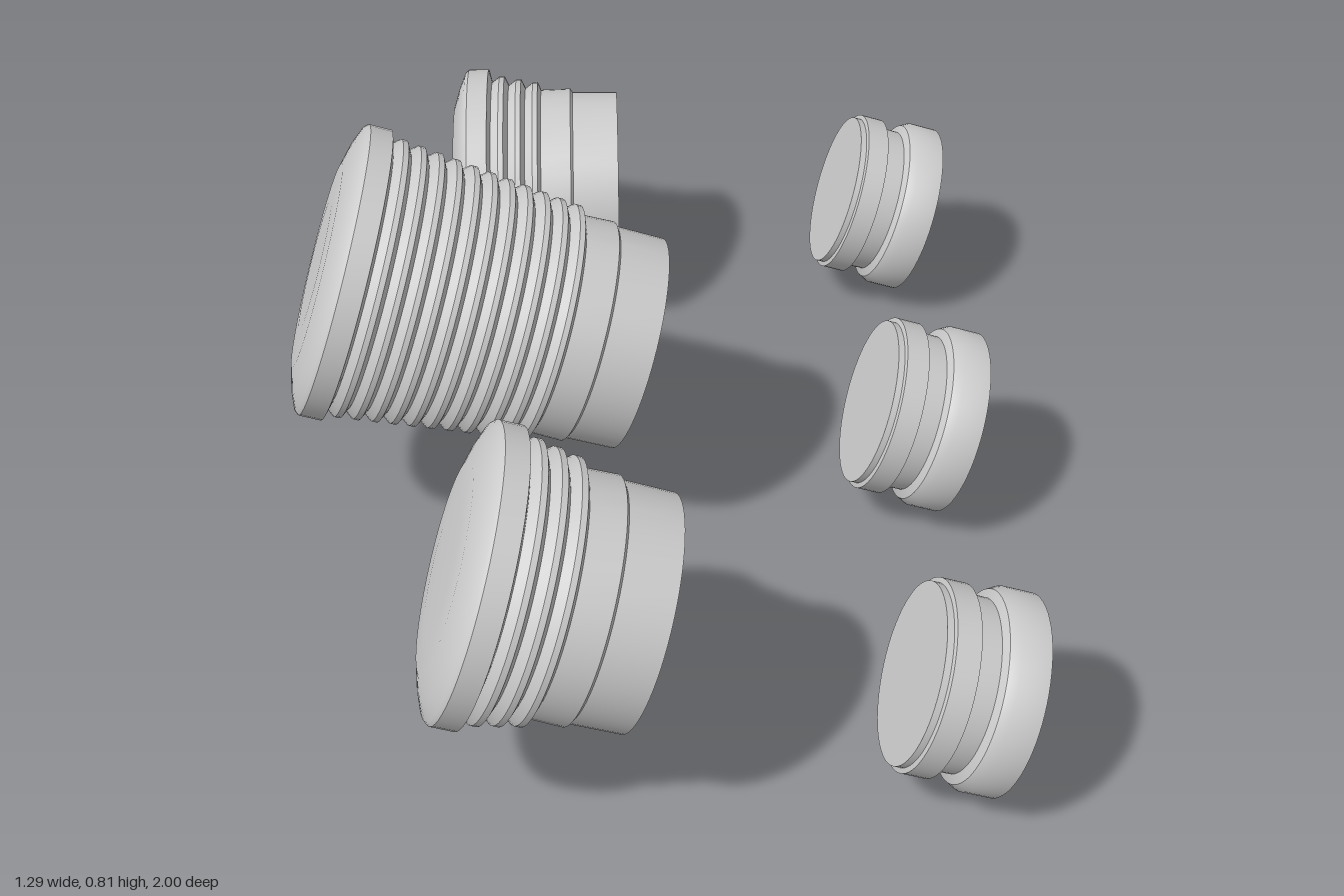
import * as THREE from 'three';
import { toCreasedNormals } from 'three/addons/utils/BufferGeometryUtils.js';

const TILT = THREE.MathUtils.degToRad(107.5);
const WALL = 0.012;

// Profiles are [radius, height]; the mouth or outer face lies at height 0.
function turned(profile) {
  const pts = profile.map(([r, y]) => new THREE.Vector2(r, y));
  return toCreasedNormals(new THREE.LatheGeometry(pts, 64), 0.6);
}

// Hollow bellows cup: domed closed end, thick rim, ribbed taper, plain collar
function cupGeometry(rimR, rimY, ribs) {
  const capY = rimY - 0.075;
  const cap = [
    [0, capY], [rimR * 0.45, capY], [rimR * 0.7, capY + 0.003],
    [rimR - 0.035, capY + 0.015], [rimR - 0.006, capY + 0.027],
    [rimR, capY + 0.034], [rimR, rimY],
  ];
  const bellows = [];
  const startR = rimR - 0.008, endR = 0.222, endY = -0.163;
  const step = (endY - rimY) / ribs;
  for (let i = 0; i < ribs; i++) {
    const y = rimY + i * step;
    const r = startR + (endR - startR) * (i + 1) / ribs;
    bellows.push([r - 0.012, y + step * 0.2], [r, y + step * 0.65], [r, y + step * 0.95]);
  }
  const outside = [...cap, ...bellows, [0.206, -0.158], [0.208, -0.097], [0.201, -0.092], [0.2, 0]];
  // Mouth with a small inner catch ring, then the inside of the ribs and cap
  const mouth = [[0.188, 0], [0.188, -0.085], [0.172, -0.092], [0.172, -0.115], [0.192, -0.155]];
  const ribInside = bellows.slice().reverse().map(([r, y]) => [r - WALL, y]);
  const capInside = [
    [rimR - WALL, rimY - 0.005], [rimR - 0.016, capY + 0.04],
    [rimR * 0.7, capY + 0.016], [0, capY + WALL],
  ];
  return turned([...outside, ...mouth, ...ribInside, ...capInside]);
}

// Solid grooved plug
function plugGeometry() {
  return turned([
    [0, -0.175], [0.156, -0.175], [0.156, -0.163], [0.165, -0.161], [0.165, -0.118],
    [0.15, -0.115], [0.149, -0.077], [0.165, -0.07], [0.174, -0.053], [0.174, 0], [0, 0],
  ]);
}

export function createModel() {
  const model = new THREE.Group();
  model.name = 'bellowsCupsAndPlugs';
  const grey = new THREE.MeshStandardMaterial({ color: 0xcccccc });
  grey.name = 'lightGrey';

  const add = (name, geometry, x, y, z, angle) => {
    const mesh = new THREE.Mesh(geometry, grey);
    mesh.name = name;
    mesh.position.set(x, y, z);
    mesh.rotation.z = -angle;
    model.add(mesh);
  };

  // Cups: one long, two short; the rear one lies level
  const shortCup = cupGeometry(0.25, -0.267, 3);
  add('longCup', cupGeometry(0.271, -0.534, 11), -0.01, 0.385, 0, TILT);
  add('frontShortCup', shortCup, -0.01, 0.385, 0.748, TILT);
  add('rearShortCup', shortCup, -0.033, 0.255, -0.748, Math.PI / 2);

  // One plug in front of each cup
  const plug = plugGeometry();
  [['frontPlug', 0.748], ['middlePlug', 0], ['rearPlug', -0.748]].forEach(([name, z]) =>
    add(name, plug, 0.595, 0.19, z, TILT));

  return model;
}
